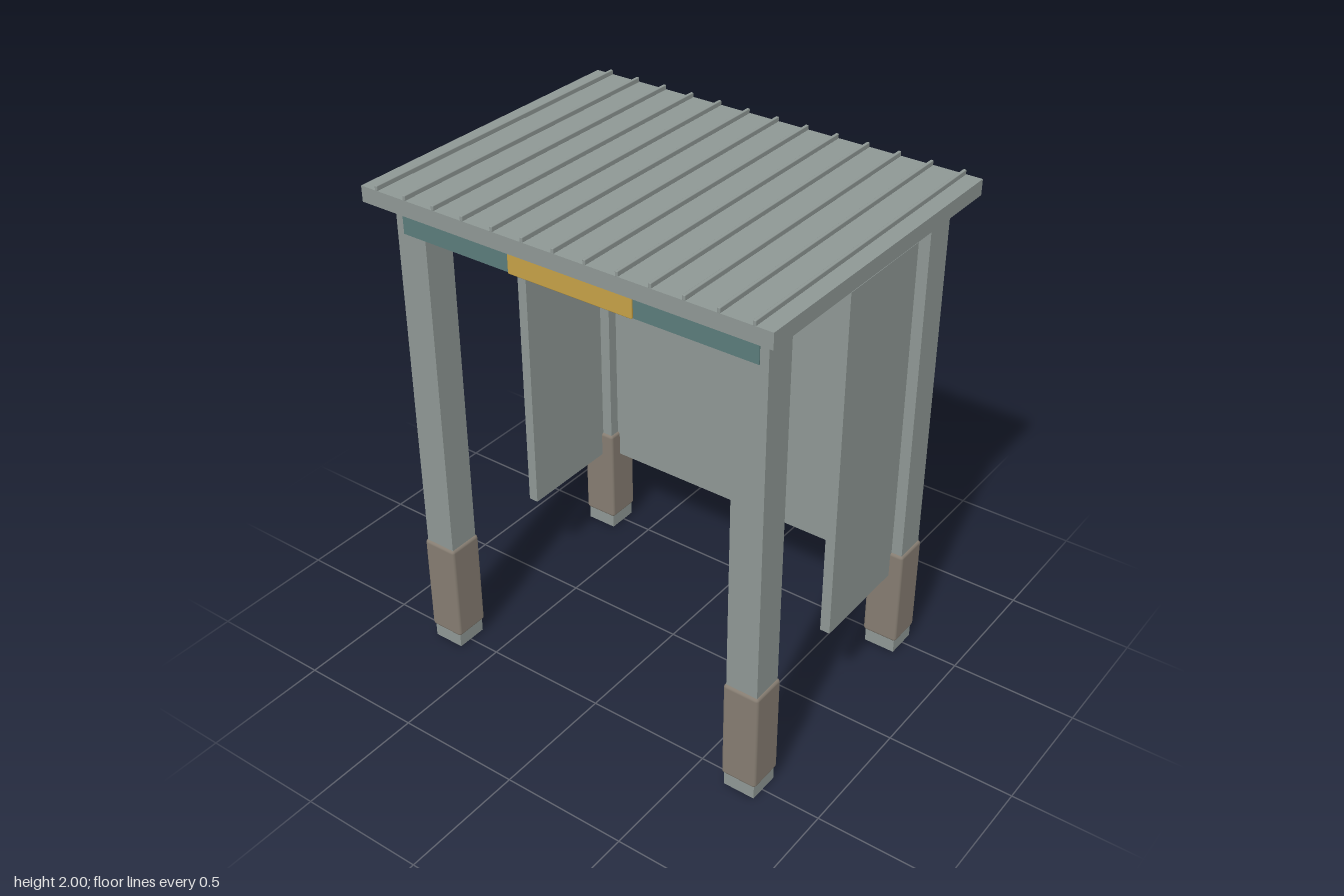
import * as THREE from 'three';
import { RoundedBoxGeometry } from 'three/addons/geometries/RoundedBoxGeometry.js';

function material(name, color) {
  const m = new THREE.MeshStandardMaterial({ color });
  m.name = name;
  return m;
}

export function createModel() {
  const model = new THREE.Group();
  model.name = 'shelter';
  const steel = material('grey steel', 0x8e9794);
  const brown = material('brown guard', 0x857c71);
  const teal = material('teal fascia', 0x5b7b7a);
  const gold = material('gold sign', 0xc4a046);

  // Box given by its lower and upper corners, with an optional edge radius
  function box(name, mat, lo, hi, radius = 0) {
    const size = hi.map((v, i) => v - lo[i]);
    const geometry = radius
      ? new RoundedBoxGeometry(...size, 2, radius)
      : new THREE.BoxGeometry(...size);
    const mesh = new THREE.Mesh(geometry, mat);
    mesh.name = name;
    mesh.position.set(...hi.map((v, i) => (v + lo[i]) / 2));
    model.add(mesh);
  }

  // Four posts with rounded bumper guards around their feet
  const px = 0.699, pz = 0.492, half = 0.064, guard = 0.073;
  for (const x of [-px, px]) {
    for (const z of [-pz, pz]) {
      box('post', steel, [x - half, 0, z - half], [x + half, 1.92, z + half]);
      box('postGuard', brown, [x - guard, 0.057, z - guard], [x + guard, 0.475, z + guard], 0.013);
    }
    // Short side wall, centred on the post
    box('sidePanel', steel, [x - 0.02, 0.37, -pz], [x + 0.02, 1.797, 0.01]);
  }

  // Back wall between the rear posts
  box('backPanel', steel, [-0.64, 0.365, -pz - 0.02], [0.64, 1.79, -pz + 0.02]);

  // Front beam, fascia plate and sign
  box('frontBeam', teal, [-0.64, 1.788, pz - 0.025], [0.64, 1.912, pz + 0.025]);
  box('fascia', teal, [-0.73, 1.798, 0.555], [0.73, 1.903, 0.5595]);
  box('signPlate', gold, [-0.256, 1.798, 0.5595], [0.256, 1.892, 0.569], 0.004);

  // Flat roof with standing ribs running front to back
  box('roof', steel, [-0.83, 1.922, -0.64], [0.83, 1.982, 0.64]);
  for (let i = -6; i <= 6; i++) {
    const x = i * 0.1268;
    box('roofRib', steel, [x - 0.006, 1.98, -0.64], [x + 0.006, 2, 0.64], 0.003);
  }
  return model;
}
